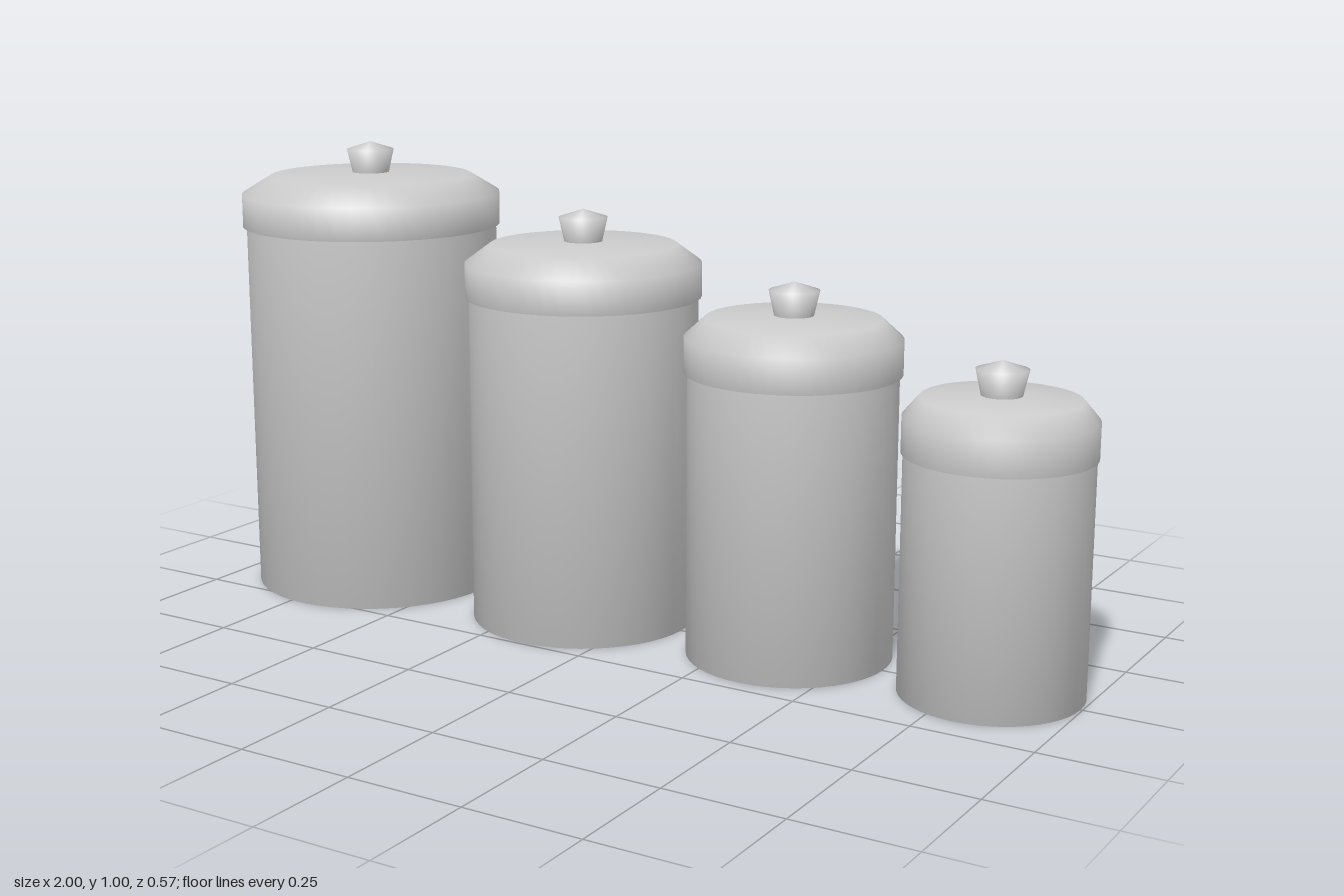
import * as THREE from 'three';

const SEGMENTS = 48;

// Smooth solid of revolution from [radius, height] pairs, bottom to top
function turned(name, profile, material) {
  const points = profile.map(([r, y]) => new THREE.Vector2(r, y));
  const mesh = new THREE.Mesh(new THREE.LatheGeometry(points, SEGMENTS), material);
  mesh.name = name;
  return mesh;
}

export function createModel() {
  const metal = new THREE.MeshStandardMaterial({ color: 0xcccccc });
  metal.name = 'brushed grey';

  const model = new THREE.Group();
  model.name = 'canisterSet';

  // Four canisters, largest to smallest
  const sizes = [
    { x: -0.713, body: 0.279, lid: 0.287, bevel: 0.063, rim: 0.82 },
    { x: -0.145, body: 0.245, lid: 0.252, bevel: 0.053, rim: 0.708 },
    { x: 0.36, body: 0.215, lid: 0.222, bevel: 0.042, rim: 0.597 },
    { x: 0.81, body: 0.186, lid: 0.19, bevel: 0.033, rim: 0.485 },
  ];

  sizes.forEach(({ x, body, lid, bevel, rim }, i) => {
    const canister = new THREE.Group();
    canister.name = `canister${i + 1}`;
    canister.position.x = x;

    // Straight jar with a closed base
    canister.add(turned('jar', [[0, 0], [body, 0], [body, rim + 0.02]], metal));

    // Overhanging lid with a bevelled shoulder and slightly domed top
    const top = turned('lid', [
      [body - 0.01, 0], [lid, 0], [lid, 0.072], [lid - bevel, 0.111], [0.035, 0.117], [0, 0.117],
    ], metal);
    top.position.y = rim;
    canister.add(top);

    // Flared knob with a shallow pointed cap
    const knob = turned('knob', [[0.04, 0], [0.052, 0.053], [0, 0.07]], metal);
    knob.position.y = rim + 0.115;
    canister.add(knob);

    model.add(canister);
  });

  return model;
}
